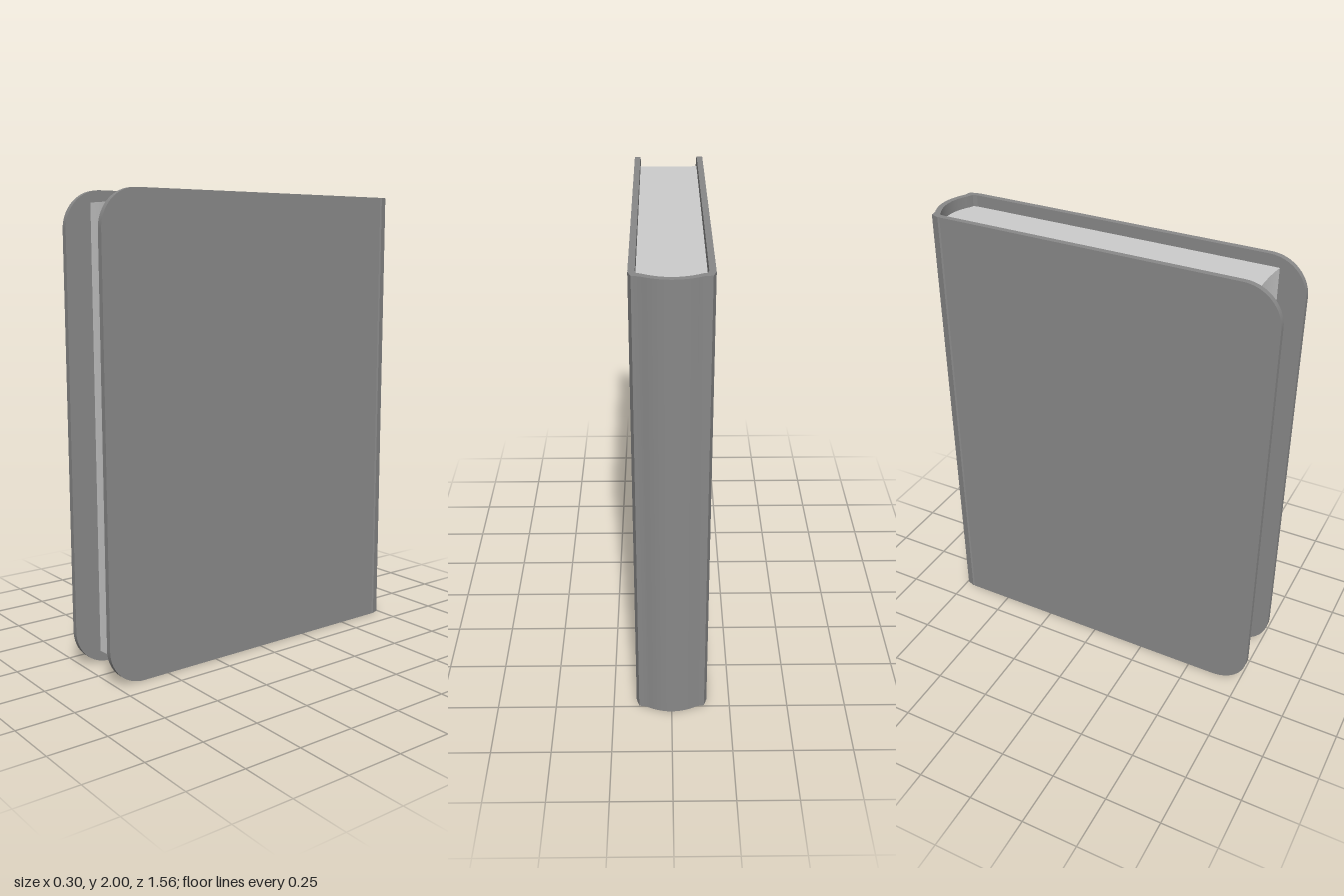
import * as THREE from 'three';
import { toCreasedNormals } from 'three/addons/utils/BufferGeometryUtils.js';

const HEIGHT = 2, HALF = 0.152, BOARD = 0.025, FRONT = 0.78, HINGE = -0.7, CORNER = 0.16;
const INNER = HALF - BOARD;

// Extrudes a plan outline of [x, z] points upwards between two heights
function extrudePlan(points, y0, y1) {
  const shape = new THREE.Shape(points.map(([x, z]) => new THREE.Vector2(x, -z)));
  const geometry = new THREE.ExtrudeGeometry(shape, { depth: y1 - y0, bevelEnabled: false });
  geometry.rotateX(-Math.PI / 2).translate(0, y0, 0);
  return toCreasedNormals(geometry, 0.45);
}

// Shallow bow across x from -w to w: z at the ends, z at the middle
function bow(w, zEnd, zMid, steps = 12) {
  return Array.from({ length: steps + 1 }, (_, i) => {
    const t = (i / steps) * 2 - 1;
    return [t * w, zMid + (zEnd - zMid) * t * t];
  });
}

export function createModel() {
  const book = new THREE.Group();
  book.name = 'book';
  const coverMaterial = new THREE.MeshStandardMaterial({ color: 0x888888 });
  const pageMaterial = new THREE.MeshStandardMaterial({ color: 0xcccccc });

  const add = (name, geometry, material) => {
    const mesh = new THREE.Mesh(geometry, material);
    mesh.name = name;
    book.add(mesh);
    return mesh;
  };

  // Cover boards, rounded at the two fore-edge corners
  const board = new THREE.Shape();
  board.moveTo(HINGE, 0);
  board.lineTo(FRONT - CORNER, 0);
  board.absarc(FRONT - CORNER, CORNER, CORNER, -Math.PI / 2, 0, false);
  board.absarc(FRONT - CORNER, HEIGHT - CORNER, CORNER, 0, Math.PI / 2, false);
  board.lineTo(HINGE, HEIGHT);
  board.closePath();
  const boardGeometry = toCreasedNormals(
    new THREE.ExtrudeGeometry(board, { depth: BOARD, bevelEnabled: false, curveSegments: 8 })
      .rotateY(-Math.PI / 2).translate(BOARD / 2, 0, 0), 0.5);
  for (const [name, side] of [['leftCover', 1], ['rightCover', -1]]) {
    add(name, boardGeometry, coverMaterial).position.x = side * (HALF - BOARD / 2);
  }

  // Rounded spine with flared shoulders at the hinges
  const outer = [[-HALF, -0.71], [-0.14, -0.745], ...bow(0.11, -0.75, -0.78), [0.14, -0.745], [HALF, -0.71]];
  const inner = [[INNER, HINGE], [INNER - 0.005, -0.719], ...bow(0.107, -0.724, -0.756).reverse(),
    [-INNER + 0.005, -0.719], [-INNER, HINGE]];
  const spine = [...outer, [HALF - 0.006, HINGE], ...inner, [-HALF + 0.006, HINGE]];
  add('spine', extrudePlan(spine, 0, HEIGHT), coverMaterial);

  // Page block: hollowed fore-edge, rounded back
  const pages = [...bow(INNER, 0.665, 0.657), [INNER, HINGE], [INNER - 0.005, -0.719],
    ...bow(0.107, -0.724, -0.756).reverse(), [-INNER + 0.005, -0.719], [-INNER, HINGE]];
  add('pages', extrudePlan(pages, 0.05, 1.95), pageMaterial);

  return book;
}
